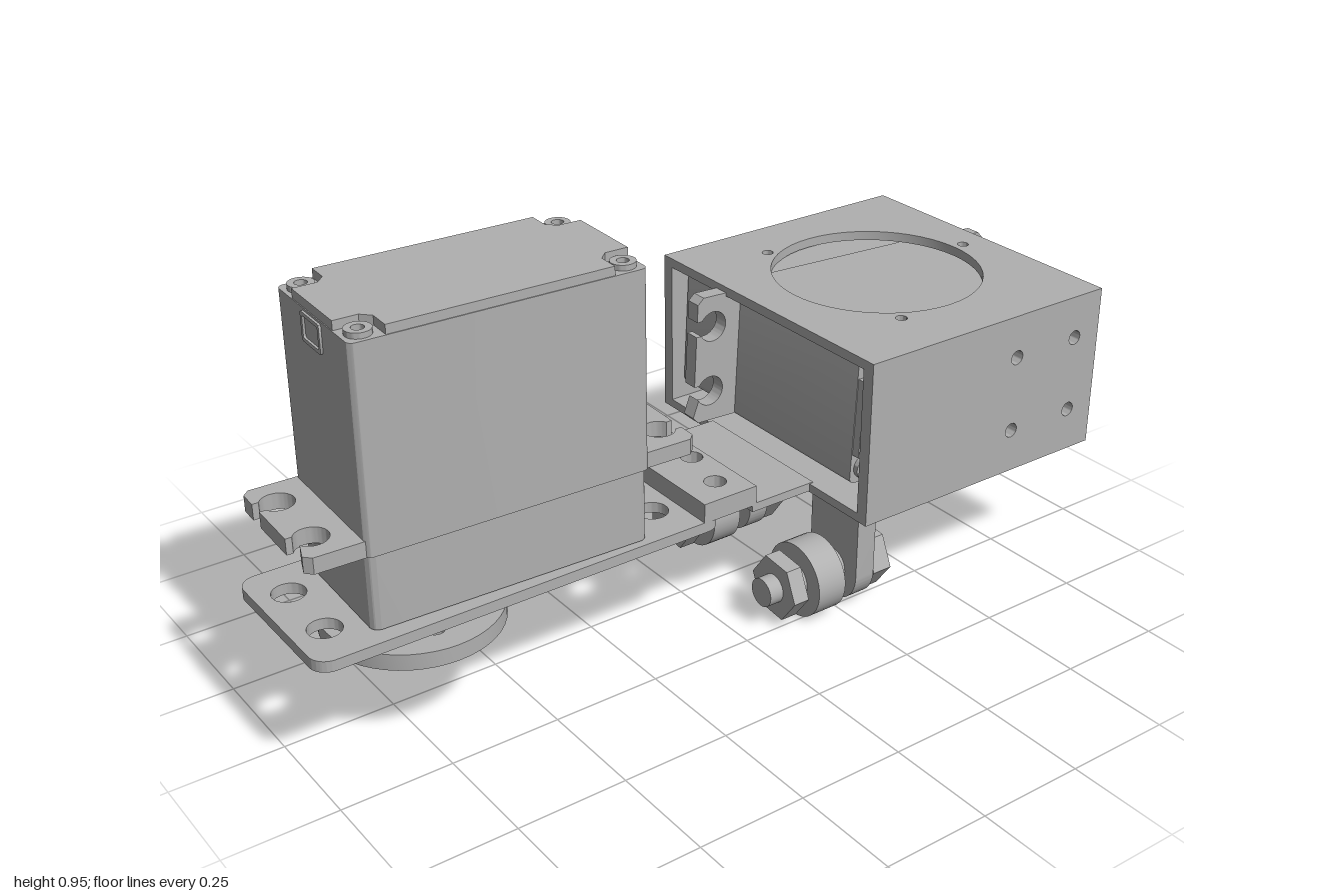
import * as THREE from 'three';
import { toCreasedNormals, mergeVertices } from 'three/addons/utils/BufferGeometryUtils.js';

export function createModel() {
  const root = new THREE.Group();
  const grey = new THREE.MeshStandardMaterial({ color: 0xb0b0b0 });
  grey.name = 'plain grey';

  const add = (parent, name, geo) => {
    const m = new THREE.Mesh(geo, grey);
    m.name = name;
    parent.add(m);
    return m;
  };
  const box = (parent, name, x0, x1, y0, y1, z0, z1) =>
    add(parent, name, new THREE.BoxGeometry(x1 - x0, y1 - y0, z1 - z0)
      .translate((x0 + x1) / 2, (y0 + y1) / 2, (z0 + z1) / 2));
  const extrude = (shape, depth) => toCreasedNormals(
    new THREE.ExtrudeGeometry(shape, { depth, bevelEnabled: false, curveSegments: 24 }), 0.6);
  // Horizontal plate: the shape is drawn in (x, z) and spans y0 to y1
  const flat = (parent, name, shape, y0, y1) =>
    add(parent, name, extrude(shape, y1 - y0).rotateX(Math.PI / 2).translate(0, y1, 0));
  // Upright plate: the shape is drawn in (x, y) and spans z0 to z1
  const upright = (parent, name, shape, z0, z1) =>
    add(parent, name, extrude(shape, z1 - z0).translate(0, 0, z0));
  const poly = pts => new THREE.Shape(pts.map(p => new THREE.Vector2(...p)));
  const hole = (s, x, y, r) => {
    s.holes.push(new THREE.Path().absarc(x, y, r, 0, Math.PI * 2, true));
    return s;
  };
  const roundRect = (x0, x1, y0, y1, r, S = THREE.Shape) => {
    const s = new S();
    s.absarc(x1 - r, y0 + r, r, -Math.PI / 2, 0);
    s.absarc(x1 - r, y1 - r, r, 0, Math.PI / 2);
    s.absarc(x0 + r, y1 - r, r, Math.PI / 2, Math.PI);
    s.absarc(x0 + r, y0 + r, r, Math.PI, Math.PI * 1.5);
    s.closePath();
    return s;
  };
  const disc = r => new THREE.Shape().absarc(0, 0, r, 0, Math.PI * 2, false);

  // Servo: stands on local y = 0 with its output shaft pointing down at x = -0.155
  function servo(name) {
    const g = new THREE.Group();
    g.name = name;
    flat(g, 'gearCase', roundRect(-0.317, 0.317, -0.157, 0.157, 0.02), 0, 0.167);
    flat(g, 'mainCase', roundRect(-0.32, 0.32, -0.161, 0.161, 0.014), 0.167, 0.615);
    // Lid with notched corners and screws
    const a = 0.318, b = 0.159, nx = 0.245, nz = 0.09;
    flat(g, 'lid', poly([[-nx, -b], [nx, -b], [nx, -nz - 0.02], [nx + 0.02, -nz], [a, -nz],
      [a, nz], [nx + 0.02, nz], [nx, nz + 0.02], [nx, b], [-nx, b], [-nx, nz + 0.02],
      [-nx - 0.02, nz], [-a, nz], [-a, -nz], [-nx - 0.02, -nz], [-nx, -nz - 0.02]]), 0.615, 0.635);
    for (const sx of [-1, 1]) for (const sz of [-1, 1]) {
      const screw = flat(g, 'lidScrew', hole(disc(0.027), 0, 0, 0.013), 0.615, 0.627);
      screw.position.set(sx * 0.284, 0, sz * 0.125);
    }
    // Cable clip frame on the end
    const frame = roundRect(-0.042, 0.042, 0.548, 0.61, 0.006);
    frame.holes.push(roundRect(-0.034, 0.034, 0.556, 0.602, 0.004, THREE.Path));
    add(g, 'cableClip', extrude(frame, 0.006).rotateY(-Math.PI / 2).translate(-0.319, 0, 0));
    // Mounting ears with open slots and a rib below
    const ear = new THREE.Shape();
    const o = 0.525;
    ear.moveTo(0.3, -0.155);
    ear.lineTo(0.425, -0.155);
    ear.lineTo(0.44, -0.14);
    ear.absarc(0.395, -0.08, 0.036, -o, o, true);
    ear.lineTo(0.44, -0.062);
    ear.lineTo(0.44, 0.062);
    ear.absarc(0.395, 0.08, 0.036, -o, o, true);
    ear.lineTo(0.44, 0.098);
    ear.lineTo(0.44, 0.14);
    ear.lineTo(0.425, 0.155);
    ear.lineTo(0.3, 0.155);
    for (const turn of [0, Math.PI]) {
      flat(g, 'mountingEar', ear, 0.167, 0.203).rotation.y = turn;
      upright(g, 'earRib', poly([[0.31, 0.13], [0.43, 0.16], [0.43, 0.17], [0.31, 0.17]]),
        -0.013, 0.013).rotation.y = turn;
    }
    // Stepped boss and splined shaft
    const out = new THREE.Group();
    out.name = 'output';
    out.position.x = -0.155;
    flat(out, 'boss', disc(0.11), -0.024, 0);
    flat(out, 'bossStep', disc(0.085), -0.036, -0.024);
    const spline = [];
    for (let i = 0; i < 48; i++) {
      const t = i / 48 * Math.PI * 2, r = i % 2 ? 0.048 : 0.041;
      spline.push([r * Math.cos(t), r * Math.sin(t)]);
    }
    flat(out, 'shaft', hole(poly(spline), 0, 0, 0.018), -0.092, -0.036);
    g.add(out);
    root.add(g);
    return g;
  }

  // Standing servo
  const first = servo('standingServo');
  first.position.set(-0.54, 0.32, 0.03);
  first.rotation.y = -0.035;

  // Lying servo: shaft points to the back, slightly tilted
  const second = servo('lyingServo');
  second.quaternion.setFromRotationMatrix(new THREE.Matrix4().makeBasis(
    new THREE.Vector3(-1, 0, 0), new THREE.Vector3(0, 0, 1), new THREE.Vector3(0, 1, 0)));
  second.rotateOnWorldAxis(new THREE.Vector3(0, 0, 1), -0.045);
  second.position.set(0.555, 0.497, -0.305);

  // Base plate with screw holes and a clearance hole for the shaft
  const base = roundRect(-1, -0.04, -0.16, 0.21, 0.04);
  for (const x of [-0.93, -0.15]) for (const z of [-0.06, 0.1]) hole(base, x, z, 0.036);
  hole(base, -0.695, 0.025, 0.12);
  flat(root, 'basePlate', base, 0.29, 0.315);
  const joint = poly([[-0.09, -0.16], [0.05, -0.16], [0.05, 0.21], [-0.09, 0.21]]);
  hole(hole(hole(joint, -0.01, -0.1, 0.025), 0.015, 0.02, 0.025), -0.01, 0.14, 0.025);
  flat(root, 'raisedJoint', joint, 0.313, 0.36);
  box(root, 'joinTab', 0.04, 0.21, 0.298, 0.318, -0.16, 0.21);

  // Round horn under the base plate
  const horn = hole(disc(0.195), 0, 0, 0.02);
  for (let i = 0; i < 4; i++) {
    const t = i * Math.PI / 2 + 0.1;
    hole(horn, 0.12 * Math.cos(t), 0.12 * Math.sin(t), 0.02);
  }
  flat(root, 'horn', horn, 0.213, 0.25).position.set(-0.7, 0, 0.022);
  flat(root, 'hornHub', disc(0.07), 0.248, 0.3).position.set(-0.7, 0, 0.022);

  // Housing: a sleeve open at both ends
  const housing = new THREE.Group();
  housing.name = 'housing';
  root.add(housing);
  const rect = (x0, x1, y0, y1) => poly([[x0, y0], [x1, y0], [x1, y1], [x0, y1]]);
  const roof = hole(rect(0.2, 0.88, -0.34, 0.4), 0.54, 0.022, 0.243);
  for (const [x, z] of [[0.405, -0.21], [0.405, 0.257], [0.812, 0.022]]) hole(roof, x, z, 0.013);
  flat(housing, 'roof', roof, 0.66, 0.682);
  const floor = rect(0.2, 0.88, -0.34, 0.4);
  floor.holes.push(roundRect(0.42, 0.82, -0.2, 0.25, 0.025, THREE.Path));
  flat(housing, 'floor', floor, 0.296, 0.316);
  const front = rect(0.2, 0.88, 0.316, 0.66);
  for (const x of [0.625, 0.805]) for (const y of [0.4, 0.58]) hole(front, x, y, 0.017);
  upright(housing, 'frontWall', front, 0.37, 0.4);
  box(housing, 'frontRib', 0.25, 0.55, 0.316, 0.66, 0.336, 0.371);
  // Back wall with a slot open to the side for the boss
  const back = new THREE.Shape();
  back.moveTo(0.2, 0.316);
  back.lineTo(0.88, 0.316);
  back.lineTo(0.88, 0.37);
  back.absarc(0.71, 0.49, 0.12, -Math.PI / 2, Math.PI / 2, true);
  back.lineTo(0.88, 0.61);
  back.lineTo(0.88, 0.66);
  back.lineTo(0.2, 0.66);
  upright(housing, 'backWall', back, -0.34, -0.31);

  // Two hanging legs with bolted rollers
  const turned = (g, name, x0, x1, r, sides = 40) => {
    let geo = new THREE.CylinderGeometry(r, r, x1 - x0, sides);
    if (sides === 6) geo = geo.rotateY(0.1).toNonIndexed();
    geo = geo.rotateZ(-Math.PI / 2).translate((x0 + x1) / 2, 0.09, 0);
    if (sides === 6) geo.computeVertexNormals();
    return add(g, name, geo);
  };
  for (const z of [0.222, -0.165]) {
    const g = new THREE.Group();
    g.name = 'rollerLeg';
    g.position.z = z;
    const strap = new THREE.Shape();
    strap.moveTo(-0.08, 0.28);
    strap.lineTo(-0.08, 0.09);
    strap.absarc(0, 0.09, 0.08, Math.PI, Math.PI * 2, false);
    strap.lineTo(0.08, 0.28);
    add(g, 'strap', extrude(strap, 0.052).rotateY(Math.PI / 2).translate(0.268, 0, 0));
    const flare = new THREE.Shape();
    flare.moveTo(0.245, 0.3);
    flare.quadraticCurveTo(0.268, 0.3, 0.268, 0.27);
    flare.lineTo(0.32, 0.27);
    flare.quadraticCurveTo(0.32, 0.3, 0.343, 0.3);
    upright(g, 'strapFlare', flare, -0.08, 0.08);
    turned(g, 'boltHead', 0.325, 0.375, 0.078, 6);
    turned(g, 'headWasher', 0.318, 0.327, 0.07);
    turned(g, 'bolt', 0.06, 0.32, 0.034);
    turned(g, 'spacer', 0.228, 0.27, 0.042);
    turned(g, 'roller', 0.155, 0.23, 0.0885);
    turned(g, 'rollerCollar', 0.134, 0.156, 0.045);
    turned(g, 'nut', 0.095, 0.135, 0.076, 6);
    root.add(g);
  }
  return root;
}
